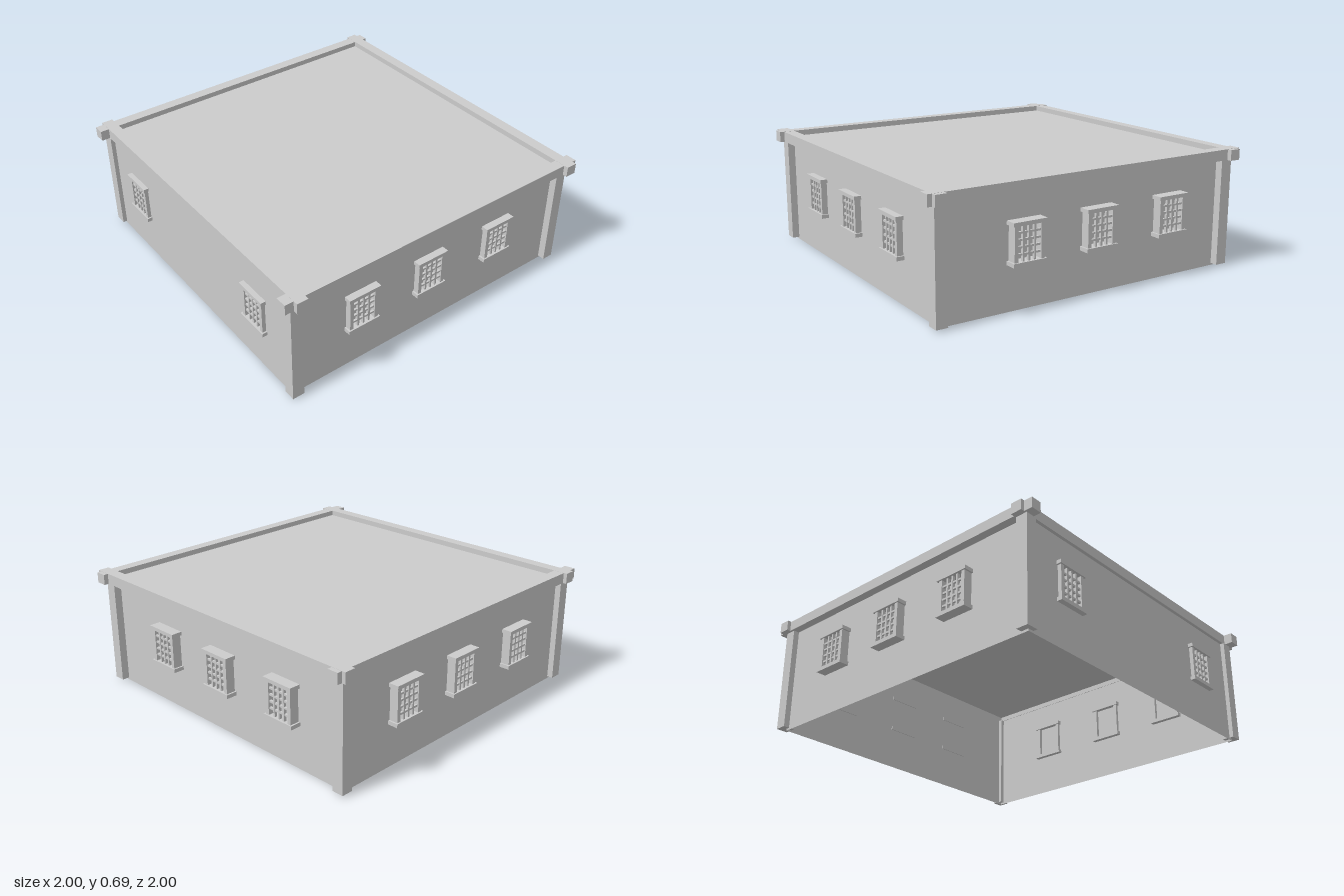
import * as THREE from 'three';

const grey = new THREE.MeshStandardMaterial({ color: 0xcccccc, flatShading: true });
const thin = new THREE.MeshStandardMaterial({ color: 0xcccccc, flatShading: true, side: THREE.DoubleSide });

// Box given by its lower and upper corner
function box(parent, name, [x0, y0, z0], [x1, y1, z1]) {
  const mesh = new THREE.Mesh(new THREE.BoxGeometry(x1 - x0, y1 - y0, z1 - z0), grey);
  mesh.position.set((x0 + x1) / 2, (y0 + y1) / 2, (z0 + z1) / 2);
  mesh.name = name;
  parent.add(mesh);
  return mesh;
}

// Thin single sheet facing +z before it is turned
function sheet(parent, name, w, h, position, rx, ry) {
  const mesh = new THREE.Mesh(new THREE.PlaneGeometry(w, h), thin);
  mesh.position.set(...position);
  mesh.rotation.set(rx, ry, 0);
  mesh.name = name;
  parent.add(mesh);
}

// Window facing +z; z = 0 is the wall plane, out is how far the sill stands out
function makeWindow(out) {
  const g = new THREE.Group();
  g.name = 'window';
  const back = out - 0.07, jambOut = out - 0.008;
  const low = 0.272, high = 0.46, inner = 0.069;
  box(g, 'sill', [-0.101, 0.25, back], [0.101, low, out]);
  box(g, 'lintel', [-0.101, high, back], [0.101, 0.481, out]);
  for (const s of [-1, 1]) {
    const a = s * inner, b = s * 0.091;
    box(g, 'jamb', [Math.min(a, b), low, back + 0.008], [Math.max(a, b), high, jambOut]);
  }
  // Lattice of crossed bars, 4 by 5 openings
  const z1 = out - 0.012, z0 = z1 - 0.016, r = 0.0055;
  for (let i = 1; i < 4; i++) {
    const x = -inner + (2 * inner * i) / 4;
    box(g, 'verticalBar', [x - r, low, z0], [x + r, high, z1]);
  }
  for (let i = 1; i < 5; i++) {
    const y = low + ((high - low) * i) / 5;
    box(g, 'horizontalBar', [-inner, y - r, z0 + 0.002], [inner, y + r, z1 - 0.002]);
  }
  return g;
}

export function createModel() {
  const model = new THREE.Group();
  model.name = 'building';

  // Wall planes and roof, open underneath
  const L = -0.93, R = 0.91, B = -0.907, F = 0.93, roofY = 0.66;
  const cx = (L + R) / 2, cz = (B + F) / 2, w = R - L, d = F - B;
  sheet(model, 'frontWall', w, roofY, [cx, roofY / 2, F], 0, 0);
  sheet(model, 'backWall', w, roofY, [cx, roofY / 2, B], 0, Math.PI);
  sheet(model, 'leftWall', d, roofY, [R, roofY / 2, cz], 0, Math.PI / 2);
  sheet(model, 'rightWall', d, roofY, [L, roofY / 2, cz], 0, -Math.PI / 2);
  sheet(model, 'roof', w, d, [cx, roofY, cz], -Math.PI / 2, 0);

  // Corner posts
  for (const [x0, x1] of [[-0.965, -0.895], [0.885, 0.952]]) {
    for (const [z0, z1] of [[-0.952, -0.885], [0.885, 0.955]]) {
      box(model, 'cornerPost', [x0, 0.012, z0], [x1, 0.63, z1]);
    }
  }

  // Top beams with ends crossing at the corners
  for (const [z0, z1] of [[-0.973, -0.907], [0.883, 0.949]]) {
    box(model, 'crossBeam', [-1, 0.63, z0], [1, 0.692, z1]);
  }
  for (const [x0, x1] of [[-0.978, -0.913], [0.907, 0.973]]) {
    box(model, 'sideBeam', [x0, 0.63, -1], [x1, 0.691, 1]);
  }

  // Windows: wall turn, sill reach, and centres along the wall
  const walls = [
    { turn: 0, out: 0.03, at: [-0.612, 0.597].map((x) => [x, F]) },
    { turn: Math.PI, out: 0.065, at: [-0.527, -0.037, 0.42].map((x) => [x, B]) },
    { turn: Math.PI / 2, out: 0.043, at: [0.495, 0.035, -0.457].map((z) => [R, z]) },
    { turn: -Math.PI / 2, out: 0.06, at: [-0.487, -0.03, 0.465].map((z) => [L, z]) },
  ];
  for (const { turn, out, at } of walls) {
    for (const [x, z] of at) {
      const win = makeWindow(out);
      win.position.set(x, 0, z);
      win.rotation.y = turn;
      model.add(win);
    }
  }
  return model;
}
